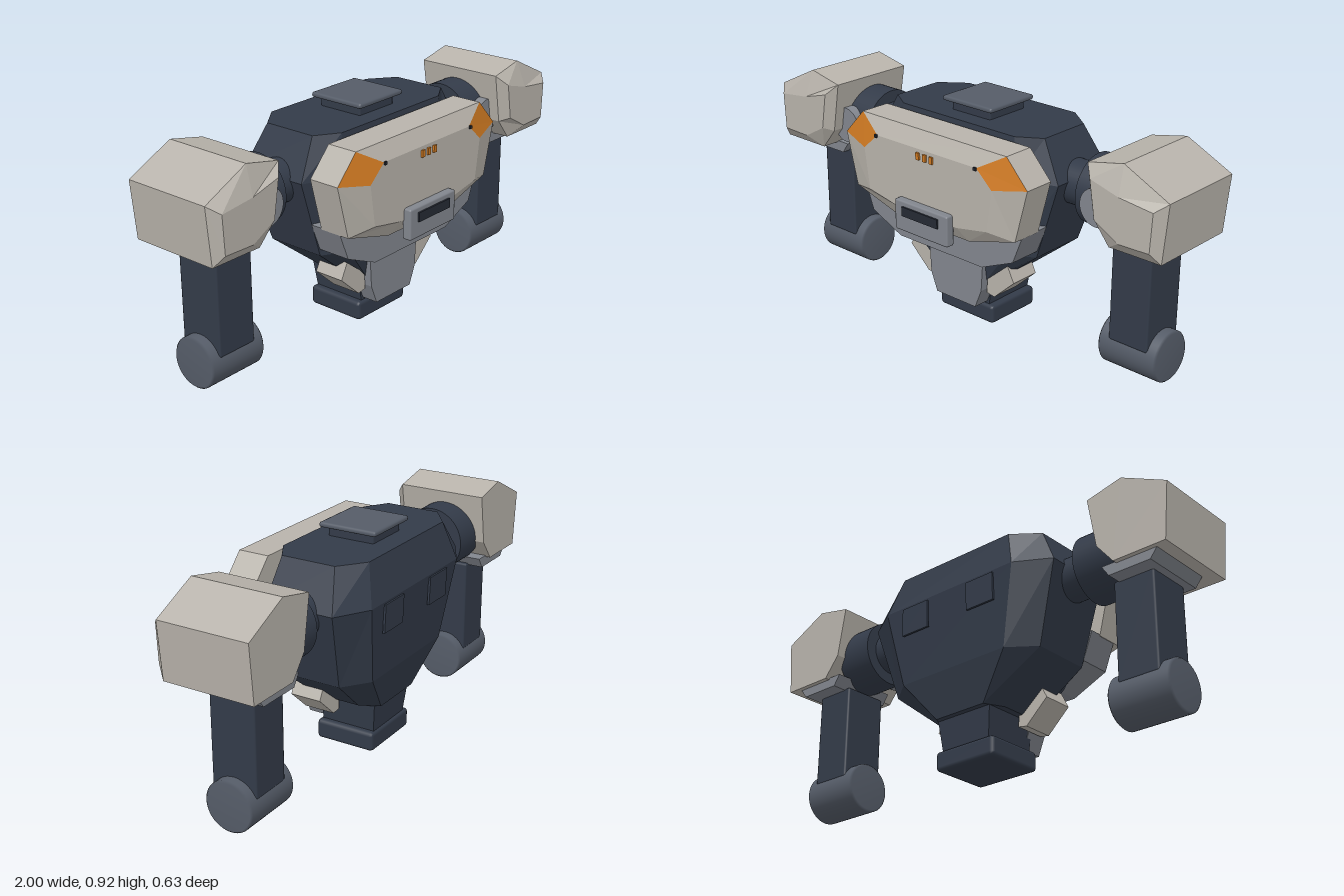
import * as THREE from 'three';
import { RoundedBoxGeometry } from 'three/addons/geometries/RoundedBoxGeometry.js';

const mat = (name, color) => Object.assign(new THREE.MeshStandardMaterial({ color, flatShading: true }), { name });
const smoothMat = (name, color) => Object.assign(new THREE.MeshStandardMaterial({ color }), { name });

export function createModel() {
  const armour = mat('pale armour', 0xb8b3ab);
  const frame = smoothMat('dark frame', 0x333b49);
  const grey = smoothMat('mid grey', 0x82868e);
  const steel = smoothMat('blue steel', 0x555c68);
  const orange = mat('orange paint', 0xd07a22);
  const black = mat('dark detail', 0x252a34);

  const model = new THREE.Group();
  model.name = 'mechTorso';

  const add = (name, geo, material, x = 0, y = 0, z = 0, parent = model) => {
    const m = new THREE.Mesh(geo, material);
    m.name = name;
    m.position.set(x, y, z);
    parent.add(m);
    return m;
  };

  // Skins counter-clockwise loops [points, height] stacked along z, with flat faces.
  // Edges listed in "painted" (of the last band) go to the second material group.
  function loft(layers, painted = []) {
    const main = [], paint = [];
    const at = (l, i) => {
      const p = layers[l][0];
      return [...p[(i + p.length) % p.length], layers[l][1]];
    };
    const n = layers[0][0].length, top = layers.length - 1;
    for (let l = 0; l < top; l++) {
      for (let i = 0; i < n; i++) {
        const out = l === top - 1 && painted.includes(i) ? paint : main;
        const a = at(l, i), b = at(l, i + 1), c = at(l + 1, i + 1), d = at(l + 1, i);
        out.push(...a, ...b, ...c, ...a, ...c, ...d);
      }
    }
    for (let i = 1; i < n - 1; i++) {
      main.push(...at(0, 0), ...at(0, i + 1), ...at(0, i));
      main.push(...at(top, 0), ...at(top, i), ...at(top, i + 1));
    }
    const g = new THREE.BufferGeometry();
    g.setAttribute('position', new THREE.Float32BufferAttribute([...main, ...paint], 3));
    if (paint.length) {
      g.addGroup(0, main.length / 3, 0);
      g.addGroup(main.length / 3, paint.length / 3, 1);
    }
    g.computeVertexNormals();
    return g;
  }
  // Completes a right half outline (bottom to top) with its mirror image.
  const sym = half => [...half, ...half.map(([x, y]) => [-x, y]).reverse()];
  // Moves an outline to either side, keeping it counter-clockwise.
  const toSide = (pts, s) => s > 0 ? pts : pts.map(([x, y]) => [-x, y]).reverse();
  const box = (w, h, d, r = 0.008) => new RoundedBoxGeometry(w, h, d, 1, r);

  // Hull: eight-sided sections stacked upwards
  const ring = (hx, front, back, zf, zb) =>
    sym([[front, -zf], [hx, -zf + 0.06], [hx, -zb - 0.08], [back, -zb]]);
  add('hull', loft([
    [ring(0.16, 0.13, 0.12, 0.08, -0.23), 0.21],
    [ring(0.37, 0.27, 0.26, 0.115, -0.275), 0.38],
    [ring(0.47, 0.31, 0.33, 0.12, -0.31), 0.70],
    [ring(0.385, 0.29, 0.28, 0.10, -0.268), 0.86],
  ]).rotateX(-Math.PI / 2), frame);

  // Waist and base
  const rect = (w, zf, zb) => sym([[w, -zf], [w, -zb]]);
  add('waist', loft([
    [rect(0.115, 0.04, -0.193), 0.08],
    [rect(0.135, 0.04, -0.21), 0.24],
  ]).rotateX(-Math.PI / 2), frame);
  add('base', box(0.29, 0.08, 0.258, 0.015), frame, 0, 0.05, -0.076);

  // Neck mount
  add('neck', box(0.2, 0.06, 0.2), frame, 0, 0.868, -0.077);
  add('neckPlate', box(0.256, 0.022, 0.25, 0.01), steel, 0, 0.906, -0.076);

  // Chest armour with bevelled front and painted upper corners
  const chestOuter = sym([[0.19, 0.455], [0.42, 0.52], [0.475, 0.735], [0.375, 0.842]]);
  const chestInner = sym([[0.16, 0.512], [0.31, 0.54], [0.335, 0.71], [0.26, 0.778]]);
  add('chestArmour', loft([[chestOuter, 0.11], [chestOuter, 0.24], [chestInner, 0.275]], [2, 4]), [armour, orange]);

  // Belly and abdomen plates
  const belly = sym([[0.22, 0.342], [0.375, 0.41], [0.42, 0.525]]);
  add('bellyPlate', loft([[belly, 0.06], [belly, 0.2]]), grey);
  const abdomen = sym([[0.105, 0.1], [0.137, 0.18], [0.147, 0.345]]);
  add('abdomenPlate', loft([[abdomen, 0.02], [abdomen, 0.112]]), grey);

  // Buckle with slot, and chest lights
  add('buckle', box(0.28, 0.127, 0.04), grey, 0, 0.495, 0.286);
  add('buckleSlot', new THREE.BoxGeometry(0.19, 0.038, 0.009), black, 0, 0.518, 0.309);
  for (const x of [-0.035, 0, 0.035])
    add('chestLight', new THREE.BoxGeometry(0.016, 0.028, 0.008), orange, x, 0.75, 0.28);

  // Shoulder armour outlines
  const padOuter = [[0.98, 0.568], [1, 0.8], [0.805, 0.895], [0.65, 0.862], [0.685, 0.655], [0.755, 0.568]];
  const padInner = [[0.953, 0.615], [0.96, 0.768], [0.815, 0.785], [0.69, 0.82], [0.715, 0.67], [0.82, 0.612]];
  const hip = [[0.18, 0.158], [0.28, 0.25], [0.247, 0.315], [0.145, 0.235], [0.14, 0.165]];
  const bracket = [[0.72, 0.53], [0.9, 0.53], [0.935, 0.575], [0.69, 0.575]];
  const armZ = -0.08;

  for (const s of [1, -1]) {
    // Small torso details
    add('chestStud', new THREE.BoxGeometry(0.012, 0.012, 0.008), black, s * 0.26, 0.777, 0.283);
    const vent = add('backPlate', new THREE.BoxGeometry(0.135, 0.115, 0.009), frame, s * 0.17, 0.633, -0.309);
    vent.rotation.x = -0.04;
    const h = toSide(hip, s);
    add('hipPad', loft([[h, -0.05], [h, 0.082]]), armour);

    // Arm
    const arm = new THREE.Group();
    arm.name = s > 0 ? 'leftArm' : 'rightArm';
    model.add(arm);
    const part = (name, geo, m, x, y, z) => add(name, geo, m, s * x, y, z, arm);
    const axle = (r, len) => new THREE.CylinderGeometry(r, r, len, 40).rotateZ(Math.PI / 2);
    part('axle', axle(0.088, 0.18), frame, 0.48, 0.675, armZ);
    part('shoulderRing', axle(0.137, 0.17), frame, 0.63, 0.677, armZ);
    part('shoulderJoint', new THREE.CylinderGeometry(0.075, 0.075, 0.18, 32).rotateX(Math.PI / 2), grey, 0.66, 0.675, -0.01);
    const po = toSide(padOuter, s), pi = toSide(padInner, s);
    part('shoulderArmour', loft([[po, -0.255], [po, 0.125], [pi, 0.163]]), armour, 0, 0, 0);
    const b = toSide(bracket, s);
    part('shoulderBracket', loft([[b, -0.235], [b, 0.05]]), grey, 0, 0, 0);
    part('upperArm', box(0.174, 0.4, 0.192), frame, 0.782, 0.338, -0.076);

    // Elbow drum with softened rims
    const rim = [[0, -0.131], [0.094, -0.131], [0.102, -0.123], [0.102, 0.123], [0.094, 0.131], [0, 0.131]];
    const drum = new THREE.LatheGeometry(rim.map(p => new THREE.Vector2(...p)), 40).rotateZ(Math.PI / 2);
    part('elbowDrum', drum, steel, 0.78, 0.102, -0.077);
  }
  return model;
}
